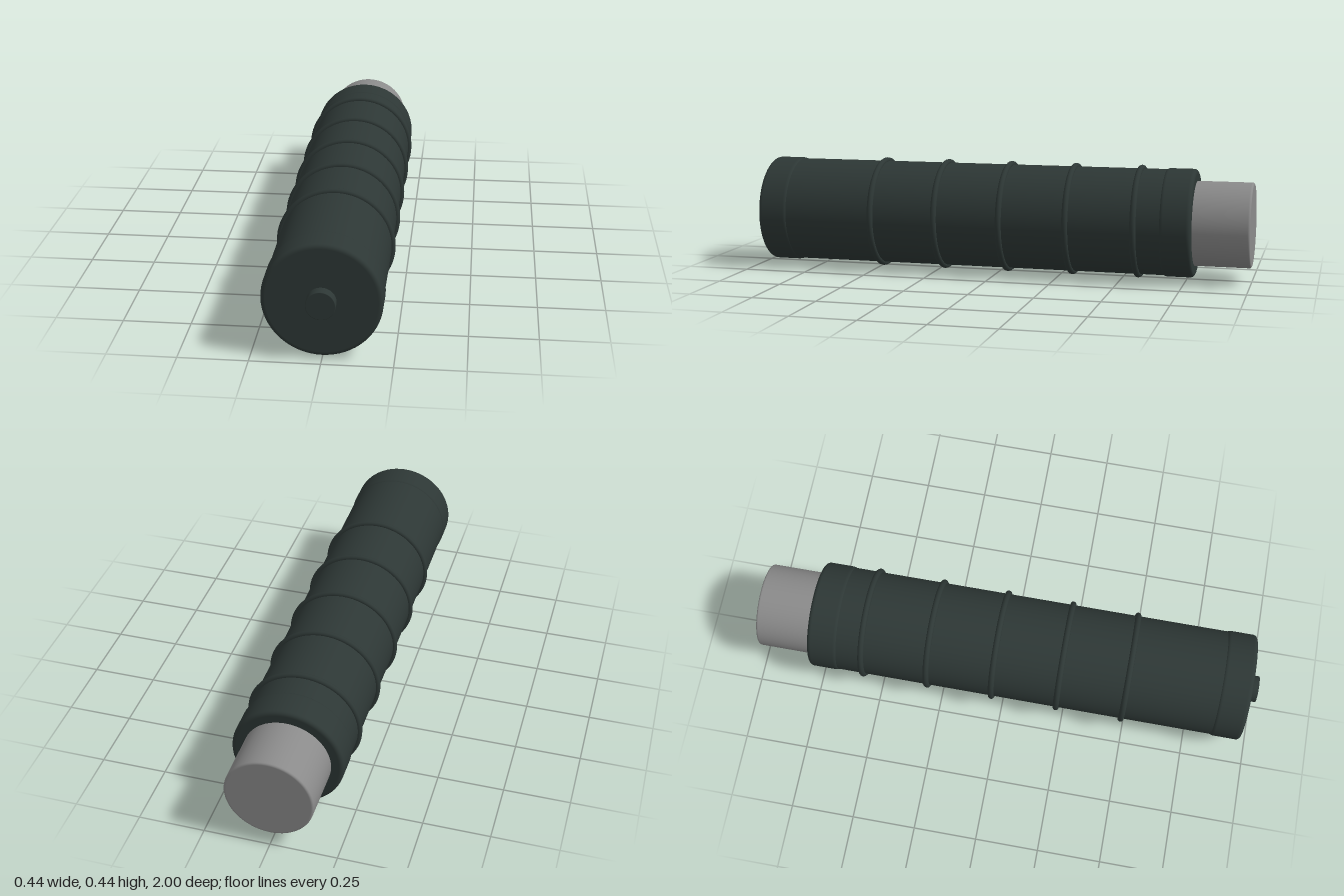
import * as THREE from 'three';

const SIDES = 64;
const AXIS_Y = 0.221;

// Solid disc or barrel along z with rounded rims
function roundedCylinder(radius, z0, z1, bevel) {
  const pts = [new THREE.Vector2(0, z0), new THREE.Vector2(radius - bevel - 0.002, z0)];
  const steps = 6;
  const arc = (cz, start) => {
    for (let i = 0; i <= steps; i++) {
      const a = start + (i / steps) * Math.PI / 2;
      pts.push(new THREE.Vector2(radius - bevel + Math.cos(a) * bevel, cz + Math.sin(a) * bevel));
    }
  };
  arc(z0 + bevel, -Math.PI / 2);
  pts.push(new THREE.Vector2(radius, z0 + bevel + 0.002));
  pts.push(new THREE.Vector2(radius, z1 - bevel - 0.002));
  arc(z1 - bevel, 0);
  pts.push(new THREE.Vector2(radius - bevel - 0.002, z1), new THREE.Vector2(0, z1));
  return new THREE.LatheGeometry(pts, SIDES).rotateX(Math.PI / 2);
}

export function createModel() {
  const model = new THREE.Group();
  model.name = 'gripHandle';

  const rubber = new THREE.MeshStandardMaterial({ color: 0x2d3735 });
  rubber.name = 'dark rubber';
  const metal = new THREE.MeshStandardMaterial({ color: 0x8a8a8a });
  metal.name = 'grey metal';

  const add = (name, geometry, material, z = 0) => {
    const mesh = new THREE.Mesh(geometry, material);
    mesh.name = name;
    mesh.position.set(0, AXIS_Y, z);
    model.add(mesh);
  };

  // Main grip and its slightly wider end collars
  add('gripBody', new THREE.CylinderGeometry(0.207, 0.207, 1.64, SIDES, 1, true).rotateX(Math.PI / 2), rubber, 0.09);
  add('frontCollar', roundedCylinder(0.211, 0.84, 0.962, 0.015), rubber);
  add('backCollar', roundedCylinder(0.211, -0.782, -0.66, 0.015), rubber);

  // Evenly spaced grip rings
  for (let i = 0; i < 5; i++) {
    add('gripRing' + (i + 1), new THREE.TorusGeometry(0.209, 0.012, 12, SIDES), rubber, 0.486 - i * 0.2625);
  }

  // Small button on the front, metal stub on the back
  add('frontButton', roundedCylinder(0.052, 0.95, 1, 0.002), rubber);
  add('metalStub', roundedCylinder(0.165, -1, -0.75, 0.008), metal);

  return model;
}
